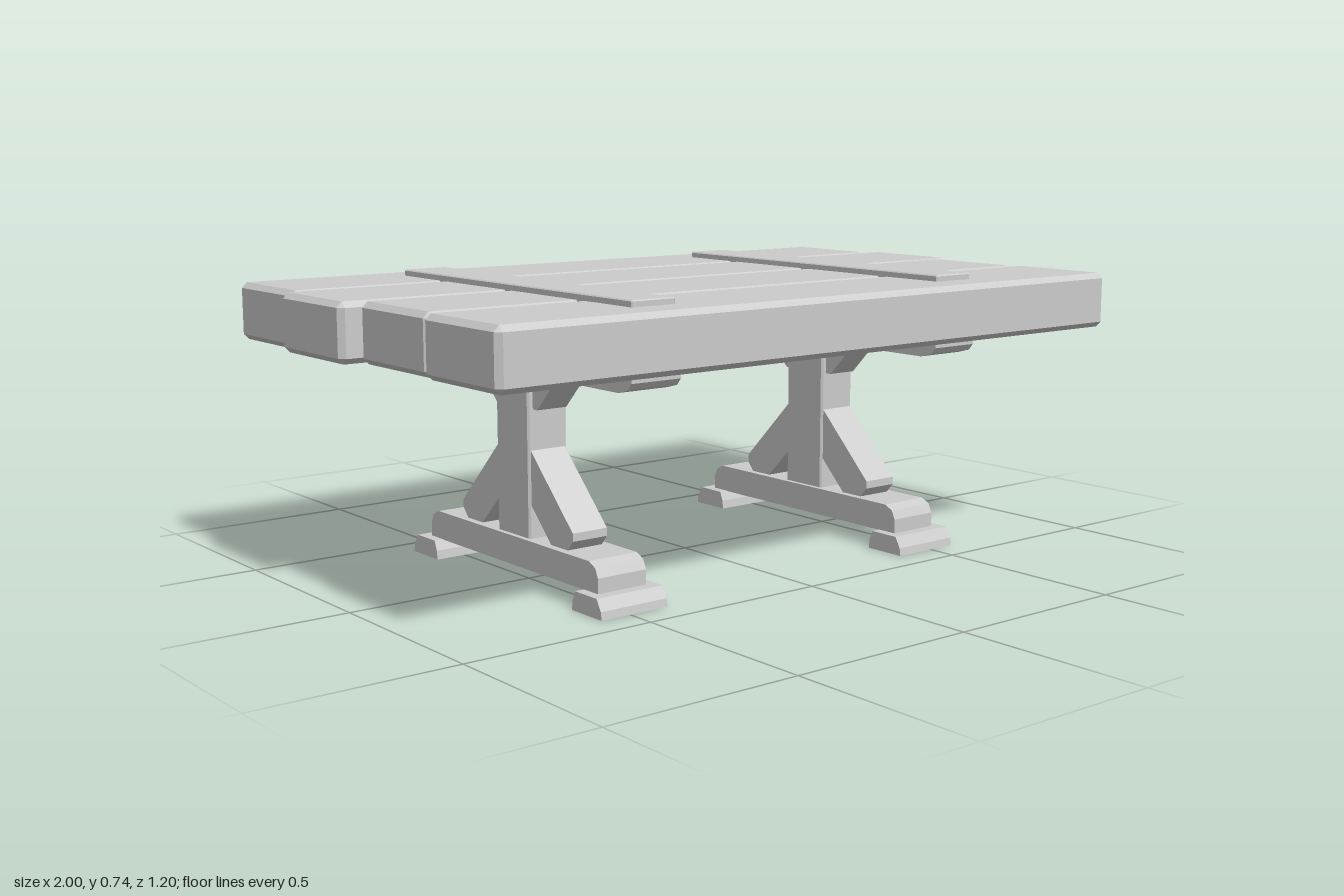
import * as THREE from 'three';
import { ConvexGeometry } from 'three/addons/geometries/ConvexGeometry.js';

const material = new THREE.MeshStandardMaterial({ color: 0xcccccc, flatShading: true });

function addMesh(parent, name, geometry, x = 0, y = 0, z = 0) {
  const mesh = new THREE.Mesh(geometry, material);
  mesh.name = name;
  mesh.position.set(x, y, z);
  parent.add(mesh);
  return mesh;
}

// Box with every edge cut by a flat chamfer c
function chamferBox(w, h, d, c) {
  const points = [];
  for (const sx of [-1, 1]) for (const sy of [-1, 1]) for (const sz of [-1, 1]) {
    const x = w / 2, y = h / 2, z = d / 2;
    points.push(
      new THREE.Vector3(sx * x, sy * (y - c), sz * (z - c)),
      new THREE.Vector3(sx * (x - c), sy * y, sz * (z - c)),
      new THREE.Vector3(sx * (x - c), sy * (y - c), sz * z));
  }
  return new ConvexGeometry(points);
}

// Extrudes a [z, y] outline to the given width, centred across x
function sideProfile(outline, width) {
  const shape = new THREE.Shape(outline.map(([z, y]) => new THREE.Vector2(z, y)));
  const geometry = new THREE.ExtrudeGeometry(shape, { depth: width, bevelEnabled: false });
  return geometry.translate(0, 0, -width / 2).rotateY(-Math.PI / 2);
}

const flip = (outline) => outline.map(([z, y]) => [-z, y]);
// Completes half an outline (z > 0) with its mirror image
const symmetric = (half) => [...half, ...flip(half).reverse()];

function createTrestle() {
  const trestle = new THREE.Group();

  // Central post and the two long beams
  addMesh(trestle, 'post', chamferBox(0.113, 0.42, 0.142, 0.005), 0, 0.325, 0);
  addMesh(trestle, 'footBeam', sideProfile(symmetric(
    [[0.373, 0.047], [0.373, 0.085], [0.362, 0.108], [0.337, 0.12]]), 0.14));
  addMesh(trestle, 'underCleat', sideProfile(symmetric(
    [[0.455, 0.53], [0.492, 0.54], [0.505, 0.556], [0.505, 0.59]]), 0.14));

  // Strap lying across the tabletop
  addMesh(trestle, 'topStrap', chamferBox(0.123, 0.03, 0.994, 0.003), 0, 0.726, 0);

  // Braces and feet, mirrored front to back
  const lowerBrace = [[0.06, 0.35], [0.245, 0.165], [0.245, 0.145], [0.222, 0.119],
    [0.155, 0.119], [0.06, 0.213]];
  const upperBrace = [[0.06, 0.535], [0.184, 0.535], [0.09, 0.44], [0.06, 0.44]];
  const foot = [[0.422, 0], [0.419, 0.02], [0.403, 0.048], [0.317, 0.048],
    [0.307, 0.023], [0.304, 0]];
  for (const [side, turn] of [['front', (o) => o], ['back', flip]]) {
    addMesh(trestle, side + 'LowerBrace', sideProfile(turn(lowerBrace), 0.1));
    addMesh(trestle, side + 'UpperBrace', sideProfile(turn(upperBrace), 0.085));
    addMesh(trestle, side + 'Foot', sideProfile(turn(foot), 0.192));
  }
  return trestle;
}

export function createModel() {
  const table = new THREE.Group();
  table.name = 'trestleTable';

  // Tabletop planks from back to front: left and right ends differ in length
  const plankEnds = [[-0.965, 0.962], [-1, 1], [-0.952, 0.947], [-0.965, 0.962]];
  plankEnds.forEach(([x0, x1], i) => {
    addMesh(table, 'plank' + (i + 1), chamferBox(x1 - x0, 0.145, 0.297, 0.014),
      (x0 + x1) / 2, 0.6525, -0.4525 + i * 0.3017);
  });

  // Two matching trestles
  for (const [name, x] of [['rightTrestle', -0.486], ['leftTrestle', 0.482]]) {
    const trestle = createTrestle();
    trestle.name = name;
    trestle.position.x = x;
    table.add(trestle);
  }
  return table;
}
